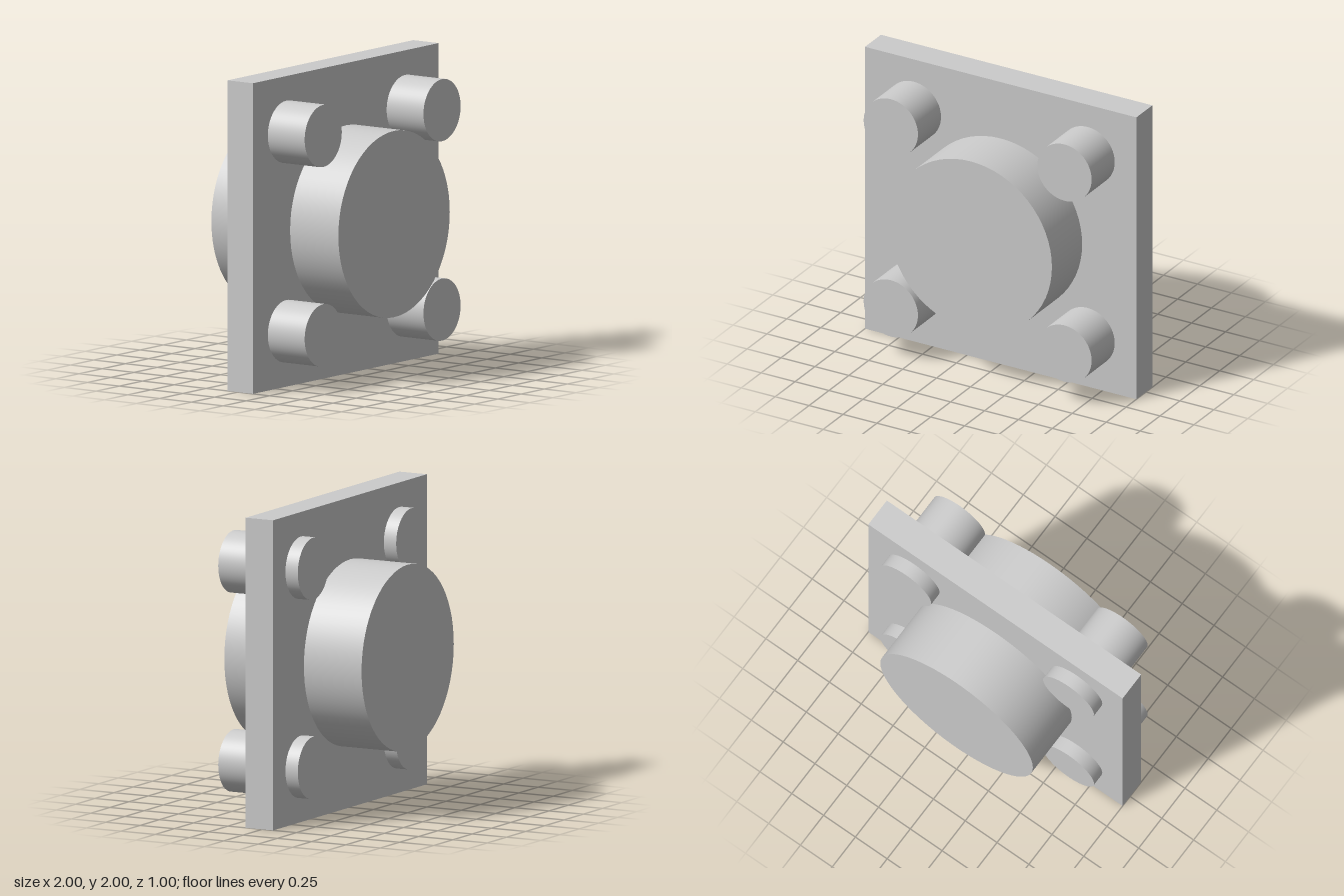
import * as THREE from 'three';

export function createModel() {
  const group = new THREE.Group();
  const material = new THREE.MeshStandardMaterial({ color: 0xcccccc });

  const add = (name, geometry, x, y, z) => {
    const mesh = new THREE.Mesh(geometry, material);
    mesh.name = name;
    mesh.position.set(x, y, z);
    group.add(mesh);
  };

  // Cylinder lying along z, spanning back to front
  const addPeg = (name, radius, x, y, back, front) => {
    const geometry = new THREE.CylinderGeometry(radius, radius, front - back, 64);
    geometry.rotateX(Math.PI / 2);
    add(name, geometry, x, y, (back + front) / 2);
  };

  // Square upright plate
  add('plate', new THREE.BoxGeometry(2, 2, 0.2), 0, 1, 0.02);

  // Large drum through the centre
  addPeg('centralDrum', 0.6, 0, 1, -0.5, 0.5);

  // Four corner pegs through the plate, longer at the front
  for (const [side, sx] of [['Left', 1], ['Right', -1]]) {
    for (const [level, sy] of [['upper', 1], ['lower', -1]]) {
      addPeg(`${level}${side}Peg`, 0.2, sx * 0.64, 1 + sy * 0.642, -0.17, 0.41);
    }
  }

  return group;
}
